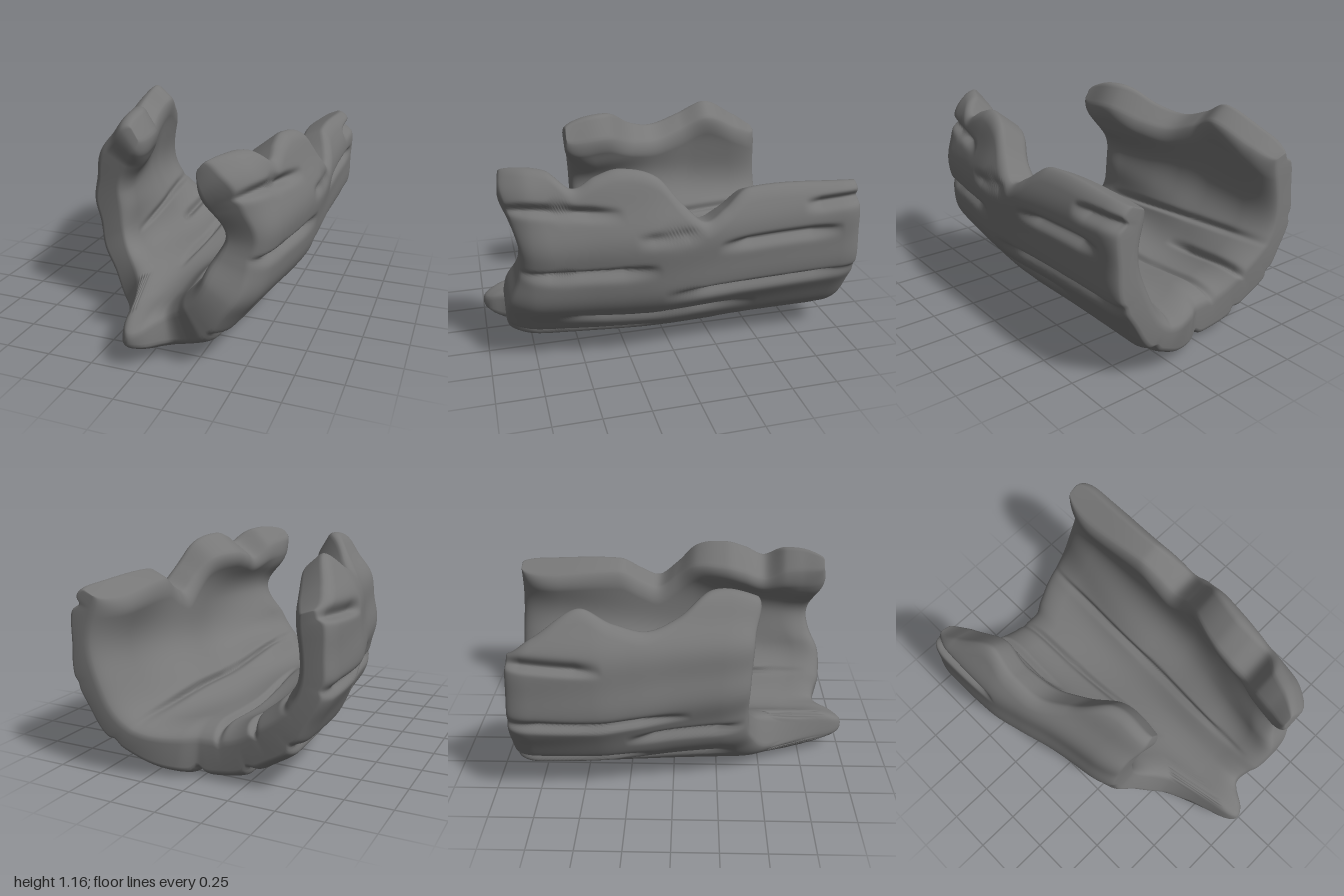
import * as THREE from 'three';

const RAD = Math.PI / 180, AXIS_Y = 0.7;

// smooth curve through [key, value] pairs
function ease(pairs, k) {
  const n = pairs.length - 1;
  if (k <= pairs[0][0]) return pairs[0][1];
  if (k >= pairs[n][0]) return pairs[n][1];
  const slope = i => i <= 0 || i >= n ? 0 : (pairs[i + 1][1] - pairs[i - 1][1]) / (pairs[i + 1][0] - pairs[i - 1][0]);
  let i = 1;
  while (pairs[i][0] < k) i++;
  const [k0, v0] = pairs[i - 1], [k1, v1] = pairs[i], w = k1 - k0, t = (k - k0) / w, u = 1 - t;
  return v0 * u * u * (1 + 2 * t) + v1 * t * t * (3 - 2 * t) + w * t * u * (slope(i - 1) * u - slope(i) * t);
}

// end outlines: z by angle in degrees (0 = bottom, + toward +x)
const frontEnd = [[-155, 0.44], [-140, 0.46], [-120, 0.43], [-60, 0.41], [-40, 0.46], [-26, 0.55], [-18, 0.66],
  [-14, 0.8], [-10, 0.94], [-5, 1.0], [2, 0.97], [8, 0.89], [13, 0.85], [22, 0.86], [32, 0.89], [55, 0.89],
  [75, 0.83], [90, 0.81], [110, 0.85], [128, 0.89], [148, 0.87]];
const backEnd = [[-125, -0.82], [-100, -0.84], [-60, -0.86], [0, -0.84], [10, -0.89], [30, -0.97], [60, -1], [130, -0.97]];
// half widths and rim heights along z
const halfRight = [[-1, 0.69], [-0.4, 0.69], [0.1, 0.71], [0.3, 0.69], [0.5, 0.655], [0.75, 0.61], [0.9, 0.57]];
const halfLeft = [[-0.85, 0.71], [-0.4, 0.695], [-0.2, 0.65], [0, 0.595], [0.2, 0.56], [0.45, 0.535]];
const rimRight = [[-1, 0.97], [-0.36, 0.98], [-0.22, 0.89], [-0.11, 0.84], [0.0, 0.94], [0.12, 1.07], [0.3, 1.11],
  [0.42, 1.08], [0.54, 1.03], [0.66, 1.11], [0.88, 1.12]];
const rimLeft = [[-0.85, 0.94], [-0.7, 1.02], [-0.48, 1.14], [-0.3, 1.07], [-0.13, 1.02], [0.02, 1.06], [0.2, 1.15],
  [0.46, 1.13]];
// upward sweep of the lip at the front of the floor
const lipLift = [[-0.1, 0], [0.65, 0.015], [0.85, 0.035], [1, 0.035]];
// extra wall thickness on the inside toward the front, by angle
const innerBulge = [[-95, 0], [-60, 0.025], [-25, 0], [12, 0], [38, 0.06], [62, 0.04], [90, 0], [115, 0.03], [145, 0]];

// bark fissures: angle at z0, angle at z1, z0, z1, depth
const fissures = [
  [83, 80, 0.12, 0.85, 0.05], [70, 68, -1.05, 0.1, 0.05], [53, 52, -0.45, 0.65, 0.04], [40, 36, -1.05, -0.25, 0.05],
  [40, 35, 0.0, 0.95, 0.045], [99, 97, -0.1, 0.25, 0.025], [93, 91, -0.88, -0.18, 0.05], [109, 117, 0.3, 0.95, 0.045],
  [107, 105, -1.05, -0.65, 0.045], [20, 17, -0.7, 0.2, 0.03], [3, -2, -1, -0.2, 0.04],
  [-12, -10, -0.5, 0.4, 0.03], [-25, -22, -0.95, -0.15, 0.045], [-36, -38, -0.3, 0.35, 0.04],
  [-50, -47, -0.95, -0.1, 0.045], [-62, -62, -0.25, 0.4, 0.04], [-78, -74, -0.95, 0.1, 0.045],
  [-108, -104, -0.9, -0.35, 0.045],
];
const innerFissures = [[-13, -4, -1, 0.35, 0.03], [36, 34, -1, 0.8, 0.035], [-38, -34, -0.95, -0.3, 0.04],
  [-62, -50, -0.9, 0.3, 0.03]];

// depth of cuts at a point; each has one steep and one soft lip
function cut(list, deg, z) {
  let sum = 0;
  for (const [d0, d1, z0, z1, depth] of list) {
    const t = (z - z0) / (z1 - z0);
    if (t <= 0 || t >= 1) continue;
    const off = deg - (d0 + (d1 - d0) * t + 0.3 * Math.sin(z * 6 + d0));
    const width = off > 0 ? 1.8 : 3;
    sum += depth * Math.min(1, 4 * Math.min(t, 1 - t)) * Math.exp(-((off / width) ** 2));
  }
  return sum;
}

function outerRadius(deg, z) {
  const side = Math.sin(Math.min(Math.abs(deg), 90) * RAD) ** 2;
  return 0.7 + (ease(deg > 0 ? halfRight : halfLeft, z) - 0.7) * side;
}

function rimAngle(z, side) {
  const r = 0.95 * ease(side > 0 ? halfRight : halfLeft, z);
  const lift = (ease(side > 0 ? rimRight : rimLeft, z) - AXIS_Y) / r;
  return side * (90 + Math.asin(Math.min(0.97, lift)) / RAD);
}

const roundOff = (d, e, low) => low + (1 - low) * Math.sqrt(1 - (1 - Math.min(1, d / e)) ** 2);
const cluster = t => 0.45 * t + 0.55 * t * t * (3 - 2 * t);

// closed shell: outer grid, inner grid and a strip joining their edges
function barkShell(M, N) {
  const outer = [], inner = [], index = [];
  for (let i = 0; i <= M; i++) for (let j = 0; j <= N; j++) {
    const a = cluster(i / M), b = cluster(j / N);
    // the angle depends on z and z on the angle: settle in a few steps
    let z = -0.9 + 1.5 * a, deg = 0, z0, z1, left, right;
    for (let k = 0; k < 12; k++) {
      left = rimAngle(z, -1);
      right = rimAngle(z, 1);
      deg = left + (right - left) * b;
      z0 = ease(backEnd, deg);
      z1 = ease(frontEnd, deg);
      z = z0 + (z1 - z0) * a;
    }
    const tip = Math.exp(-(((deg + 4) / 13) ** 2)), floor = Math.exp(-((deg / 45) ** 2));
    const thick = (0.23 + 0.055 * floor) * (0.95 + 0.05 * Math.sin(z * 4 + deg * 0.05));
    const mid = outerRadius(deg, z) - thick / 2 - floor * ease(lipLift, z);
    const arc = Math.min(b, 1 - b) * (right - left) * RAD * 0.6;
    const front = roundOff((1 - a) * (z1 - z0), 0.16 + 0.29 * tip, 0.46 - 0.36 * tip);
    const fade = front * thick / 2, back = a * (z1 - z0);
    const flare = THREE.MathUtils.smoothstep(deg, 20, 60);
    const ho = fade * roundOff(back, 0.12, 0.58) * roundOff(arc, 0.075, 0.58);
    const hi = fade * roundOff(back, 0.2 + 0.05 * flare, 0.3 - 0.25 * flare) * roundOff(arc, 0.12, 0.4);
    // gentle hewn planes on the outside, waves on the inside
    const hewn = 0.008 * Math.sin(deg * 0.21 + z * 1.3) * Math.min(1, Math.abs(deg) / 40);
    const wave = 0.01 * Math.sin(deg * 0.12 + z * 3) + 0.008 * Math.sin(deg * 0.05 - z * 7);
    const bulge = ease(innerBulge, deg) * THREE.MathUtils.smoothstep(z, -0.1, 0.5);
    const ro = mid + ho + hewn - cut(fissures, deg, z);
    const ri = mid - hi + (wave - bulge + cut(innerFissures, deg, z)) * front;
    const s = Math.sin(deg * RAD), c = Math.cos(deg * RAD);
    outer.push(ro * s, AXIS_Y - ro * c, z);
    inner.push(ri * s, AXIS_Y - ri * c, z);
  }
  const W = N + 1, count = (M + 1) * W, rim = [];
  for (let i = 0; i < M; i++) for (let j = 0; j < N; j++) {
    const p = i * W + j, q = p + 1, r = p + W + 1, s = p + W;
    index.push(p, q, r, p, r, s);
    index.push(count + p, count + r, count + q, count + p, count + s, count + r);
  }
  for (let j = 0; j < N; j++) rim.push(j);
  for (let i = 0; i < M; i++) rim.push(i * W + N);
  for (let j = N; j > 0; j--) rim.push(M * W + j);
  for (let i = M; i > 0; i--) rim.push(i * W);
  rim.forEach((p, k) => {
    const q = rim[(k + 1) % rim.length];
    index.push(q, p, count + p, q, count + p, count + q);
  });
  const g = new THREE.BufferGeometry();
  g.setAttribute('position', new THREE.Float32BufferAttribute(outer.concat(inner), 3));
  g.setIndex(index);
  g.computeVertexNormals();
  return g;
}

export function createModel() {
  const group = new THREE.Group();
  group.name = 'hollowLog';
  const geometry = barkShell(130, 260);
  // centre and stand on the ground
  geometry.computeBoundingBox();
  const { min, max } = geometry.boundingBox;
  geometry.translate(-(min.x + max.x) / 2, -min.y, -(min.z + max.z) / 2);
  const log = new THREE.Mesh(geometry, new THREE.MeshStandardMaterial({ color: 0x777777 }));
  log.name = 'barkShell';
  group.add(log);
  return group;
}
